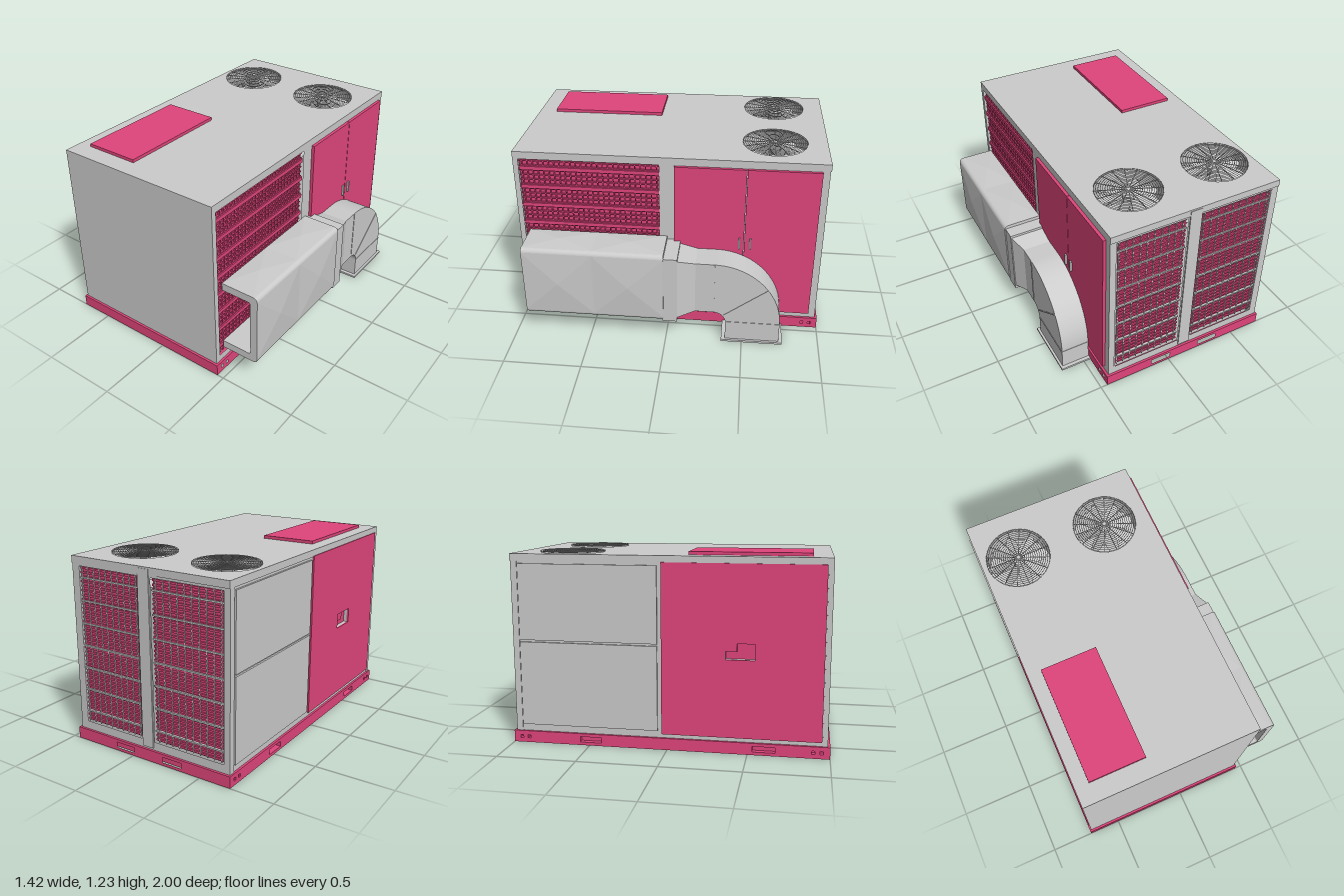
import * as THREE from 'three';
import { mergeGeometries } from 'three/addons/utils/BufferGeometryUtils.js';

const grey = new THREE.MeshStandardMaterial({ color: 0xcccccc });
const pink = new THREE.MeshStandardMaterial({ color: 0xe0457b });
const greyThin = new THREE.MeshStandardMaterial({ color: 0xcccccc, side: THREE.DoubleSide });
const greyFlat = new THREE.MeshStandardMaterial({ color: 0xcccccc, flatShading: true });

// Orientation of each wall: rotation and the sign of its horizontal axis
const SIDES = {
  front: { rot: [0, 0, 0], s: 1 },
  back: { rot: [0, Math.PI, 0], s: -1 },
  right: { rot: [0, Math.PI / 2, 0], s: -1 },
  left: { rot: [0, -Math.PI / 2, 0], s: 1 },
  top: { rot: [-Math.PI / 2, 0, 0], s: 1 },
};

export function createModel() {
  const model = new THREE.Group();

  function add(name, geo, mat, parent = model) {
    const m = new THREE.Mesh(geo, mat);
    m.name = name;
    parent.add(m);
    return m;
  }
  // Box geometry between two corners
  function boxGeo(x0, x1, y0, y1, z0, z1) {
    return new THREE.BoxGeometry(x1 - x0, y1 - y0, z1 - z0)
      .translate((x0 + x1) / 2, (y0 + y1) / 2, (z0 + z1) / 2);
  }
  const box = (name, mat, ...r) => add(name, boxGeo(...r), mat);

  function rectPoints(u0, u1, v0, v1, s) {
    return [[u0, v0], [u1, v0], [u1, v1], [u0, v1]].map(([u, v]) => new THREE.Vector2(u * s, v));
  }
  // Extrude a shape outwards along a wall's normal, from distance d0 to d1
  function extrudeOn(name, mat, side, shape, d0, d1, segs = 24) {
    const g = new THREE.ExtrudeGeometry(shape, { depth: d1 - d0, bevelEnabled: false, curveSegments: segs });
    g.translate(0, 0, d0);
    const m = add(name, g, mat);
    m.rotation.set(...SIDES[side].rot);
    return m;
  }
  // Flat rectangular plate with rectangular holes
  function plate(name, mat, side, rect, holes, d0, d1) {
    const s = SIDES[side].s;
    const shape = new THREE.Shape(rectPoints(...rect, s));
    holes.forEach(h => shape.holes.push(new THREE.Path(rectPoints(...h, s))));
    return extrudeOn(name, mat, side, shape, d0, d1);
  }
  // Evenly spaced thin bars across a rectangle on a wall
  function bars(name, mat, side, [u0, u1, v0, v1], rows, cols, thick, d0, d1) {
    const s = SIDES[side].s, parts = [];
    const a = Math.min(u0 * s, u1 * s), b = Math.max(u0 * s, u1 * s);
    for (let i = 0; i < rows; i++) {
      const v = v0 + (v1 - v0) * (i + 0.5) / rows;
      parts.push(boxGeo(a, b, v - thick / 2, v + thick / 2, d0, d1));
    }
    for (let i = 0; i < cols; i++) {
      const u = a + (b - a) * (i + 0.5) / cols;
      parts.push(boxGeo(u - thick / 2, u + thick / 2, v0, v1, d0, d1));
    }
    add(name, mergeGeometries(parts), mat).rotation.set(...SIDES[side].rot);
  }

  // Base: core plus rails with fork pockets and lifting holes
  box('baseCore', pink, -0.68, 0.42, 0, 0.072, -0.96, 0.97);
  plate('frontRail', pink, 'front', [-0.715, 0.455, 0, 0.075], [], 0.97, 1);
  const pockets = c => c.map(u => [u - 0.07, u + 0.07, 0.02, 0.055]);
  const lifts = [-0.95, -0.9, 0.9, 0.95].map(u => [u - 0.01, u + 0.01, 0.028, 0.048]);
  plate('backRail', pink, 'back', [-0.715, 0.455, 0, 0.075], pockets([0.06, -0.3]), 0.96, 1);
  plate('rightRail', pink, 'right', [-0.96, 0.97, 0, 0.075], [...pockets([0.6, -0.49]), ...lifts], 0.42, 0.455);
  plate('leftRail', pink, 'left', [-0.96, 0.97, 0, 0.075], [...pockets([0.6, -0.49]), ...lifts], 0.68, 0.715);

  // Cabinet walls around an inner core
  box('cabinetCore', grey, -0.66, 0.39, 0.07, 1.08, -0.94, 0.96);
  box('frontWall', grey, -0.705, 0.44, 0.075, 1.18, 0.955, 0.985);
  const louvre = [0.06, 0.95, 0.12, 1.16];
  plate('rightWall', grey, 'right', [-0.98, 0.956, 0.075, 1.18], [louvre], 0.39, 0.44);
  const grilles = [[-0.665, -0.165, 0.13, 1.15], [-0.065, 0.4, 0.13, 1.15]];
  plate('backWall', grey, 'back', [-0.705, 0.44, 0.075, 1.18], grilles, 0.945, 0.985);
  const grip = [0.36, 0.54, 0.59, 0.69];
  plate('leftWall', grey, 'left', [-0.98, 0.956, 0.075, 1.18], [grip], 0.66, 0.7);

  // Roof with round fan openings
  const fans = [[-0.465, -0.655], [0.14, -0.655]];
  const roof = new THREE.Shape(rectPoints(-0.705, 0.44, -0.985, 0.99, 1));
  fans.forEach(([x, z]) => roof.holes.push(new THREE.Path().absarc(x, -z, 0.205, 0, Math.PI * 2, true)));
  extrudeOn('roof', grey, 'top', roof, 1.165, 1.21, 24);
  box('roofHatch', pink, -0.615, -0.252, 1.205, 1.23, 0.12, 0.865);

  // Fans: well, blades, hub and wire guard
  for (const [x, z] of fans) {
    const fan = new THREE.Group();
    fan.name = 'fan';
    fan.position.set(x, 0, z);
    model.add(fan);
    const well = add('fanWell', new THREE.CylinderGeometry(0.205, 0.205, 0.13, 48, 1, true), greyThin, fan);
    well.position.y = 1.145;
    add('fanHub', new THREE.CylinderGeometry(0.035, 0.035, 0.09, 24), grey, fan).position.y = 1.13;
    const blades = [];
    for (let i = 0; i < 8; i++) {
      blades.push(new THREE.CircleGeometry(1, 20).scale(0.085, 0.042, 1).rotateX(-Math.PI / 2 + 0.45)
        .translate(0.11, 1.15, 0).rotateY(i * Math.PI / 4));
    }
    add('fanBlades', mergeGeometries(blades), greyThin, fan);
    const wires = [];
    for (let i = 1; i <= 15; i++) {
      wires.push(new THREE.TorusGeometry(i * 0.0137, 0.0018, 4, 40).rotateX(Math.PI / 2)
        .translate(0, 1.217, 0));
    }
    for (let i = 0; i < 8; i++) {
      wires.push(new THREE.BoxGeometry(0.41, 0.004, 0.004).translate(0, 1.214, 0).rotateY(i * Math.PI / 8));
    }
    add('fanGuard', mergeGeometries(wires), grey, fan);
  }

  // Right side: air louvre and double doors
  plate('louvreBacking', pink, 'right', louvre, [], 0.395, 0.415);
  bars('louvreSlats', pink, 'right', louvre, 32, 26, 0.007, 0.414, 0.426);
  bars('louvreRods', pink, 'right', louvre, 8, 0, 0.025, 0.414, 0.434);
  for (const [z0, z1, zh] of [[-0.94, -0.488, -0.525], [-0.484, -0.035, -0.455]]) {
    box('door', pink, 0.435, 0.46, 0.115, 1.16, z0, z1);
    box('doorHandle', grey, 0.455, 0.473, 0.6, 0.68, zh - 0.006, zh + 0.006);
  }

  // Back: coil grilles and centre post
  for (const g of grilles) {
    plate('coilBacking', pink, 'back', g, [], 0.94, 0.96);
    bars('coilFins', pink, 'back', g, 36, 0, 0.012, 0.959, 0.97);
    bars('coilWires', grey, 'back', g, 0, 10, 0.005, 0.965, 0.974);
    bars('coilRods', grey, 'back', g, 7, 0, 0.01, 0.965, 0.978);
  }
  box('backPost', grey, -0.155, -0.075, 0.09, 1.2, -0.993, -0.98);

  // Left side: service panel with recessed grip, two stacked rear panels
  plate('servicePanel', pink, 'left', [-0.035, 0.95, 0.1, 1.17], [grip], 0.695, 0.71);
  plate('gripRecess', pink, 'left', grip, [], 0.655, 0.675);
  box('gripLatch', pink, -0.705, -0.67, 0.64, 0.69, 0.36, 0.43);
  for (const [y0, y1] of [[0.12, 0.657], [0.67, 1.15]]) {
    box('rearSidePanel', grey, -0.712, -0.695, y0, y1, -0.94, -0.06);
  }

  // Straight duct: rounded channel open towards the cabinet
  const duct = new THREE.Shape();
  duct.moveTo(0.44, 0.165).lineTo(0.665, 0.165).absarc(0.665, 0.195, 0.03, -Math.PI / 2, 0, false);
  duct.lineTo(0.695, 0.625).absarc(0.665, 0.625, 0.03, 0, Math.PI / 2, false);
  duct.lineTo(0.44, 0.655).lineTo(0.44, 0.605).lineTo(0.63, 0.605).absarc(0.63, 0.59, 0.015, Math.PI / 2, 0, true);
  duct.lineTo(0.645, 0.23).absarc(0.63, 0.23, 0.015, 0, -Math.PI / 2, true);
  duct.lineTo(0.44, 0.215).closePath();
  extrudeOn('straightDuct', grey, 'front', duct, 0.01, 0.915, 6);

  // Shallow cross-broken bulges on the duct faces
  const pyramid = (w, h, d) => new THREE.ConeGeometry(Math.SQRT1_2, 1, 4, 1, true)
    .rotateY(Math.PI / 4).translate(0, 0.5, 0).scale(w, h, d);
  for (const z of [0.237, 0.69]) {
    add('ductSideBulge', pyramid(0.43, 0.014, 0.445).rotateZ(-Math.PI / 2).translate(0.695, 0.41, z), greyFlat);
    add('ductTopBulge', pyramid(0.225, 0.011, 0.445).translate(0.553, 0.655, z), greyFlat);
    add('ductBottomBulge', pyramid(0.225, 0.011, 0.445).rotateZ(Math.PI).translate(0.553, 0.165, z), greyFlat);
  }

  // Collar and taper towards the elbow
  box('ductCollar', grey, 0.44, 0.688, 0.16, 0.632, -0.078, 0.015);
  const taper = boxGeo(0.44, 0.685, 0.185, 0.618, -0.19, -0.07);
  const p = taper.attributes.position;
  for (let i = 0; i < p.count; i++) {
    if (p.getZ(i) < -0.1) {
      p.setY(i, p.getY(i) > 0.4 ? 0.585 : 0.22);
      if (p.getX(i) > 0.5) p.setX(i, 0.645);
    }
  }
  add('ductTaper', taper, greyFlat);

  // Elbow turning down to the ground
  const elbow = new THREE.Shape();
  elbow.moveTo(0.19, 0.22).lineTo(0.31, 0.22).absarc(0.31, 0.14, 0.08, Math.PI / 2, 0, true);
  elbow.lineTo(0.39, 0.005).lineTo(0.742, 0.005).lineTo(0.742, 0.15);
  elbow.absellipse(0.31, 0.15, 0.432, 0.435, 0, Math.PI / 2, false).lineTo(0.19, 0.585).closePath();
  extrudeOn('ductElbow', grey, 'right', elbow, 0.458, 0.645, 20);

  // Elbow seams and floor flange
  for (const a of [0, 0.65, Math.PI / 2]) {
    const seam = boxGeo(0.46, 0.648, -0.004, 0.004, -0.434, -0.084).rotateX(a).translate(0, 0.147, -0.31);
    add('elbowSeam', seam, grey);
  }
  box('floorFlange', grey, 0.455, 0.66, 0, 0.014, -0.765, -0.365);

  return model;
}
